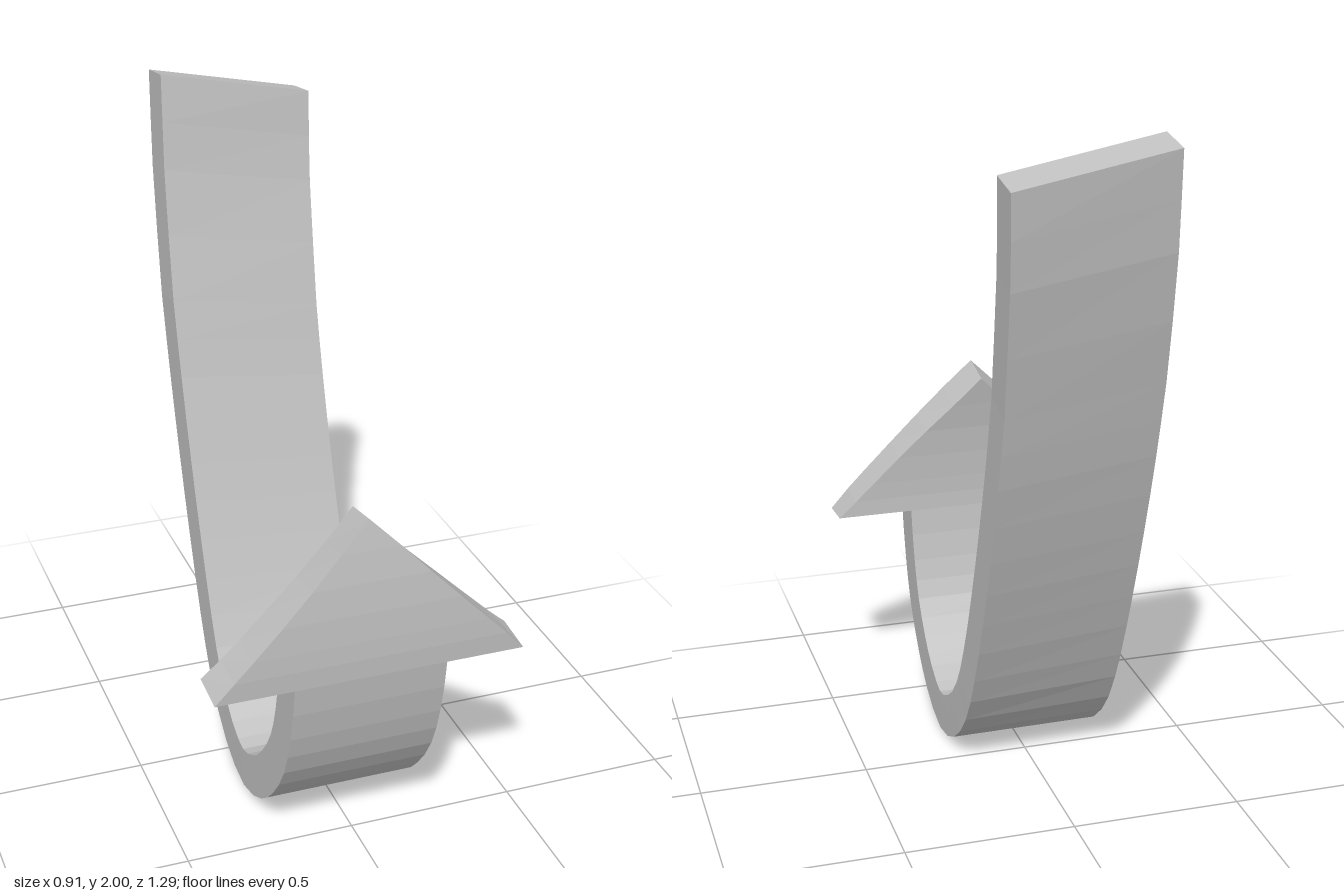
import * as THREE from 'three';

// Centreline of the bent arrow, from tail to tip, as [z, y]
const PATH = [
  [-0.577, 1.948], [-0.537, 1.675], [-0.447, 1.3], [-0.389, 1.08], [-0.31, 0.83],
  [-0.231, 0.608], [-0.142, 0.39], [-0.05, 0.222], [0.07, 0.107], [0.2, 0.065],
  [0.33, 0.115], [0.42, 0.195], [0.502, 0.31], [0.548, 0.44], [0.578, 0.61],
  [0.58, 0.72], [0.568, 0.89], [0.537, 1.06],
];
const LAST = PATH.length - 1;
const NECK = 14; // path index where the head begins
const HALF_THICK = 0.064;
const curve = new THREE.CatmullRomCurve3(PATH.map(([z, y]) => new THREE.Vector3(0, y, z)));

// Four corners across the band at path index u
function section(u, halfWidth, centreX = 0, twist = 0, slant = 0) {
  const p = curve.getPoint(u / LAST);
  const t = curve.getTangent(u / LAST);
  const n = new THREE.Vector3(0, t.z, -t.y); // towards the inside of the bend
  return [[1, -1], [1, 1], [-1, 1], [-1, -1]].map(([sx, sn]) => {
    const v = p.clone().addScaledVector(n, sn * HALF_THICK).addScaledVector(t, sx * slant);
    v.x = centreX + sx * halfWidth;
    v.z -= sx * twist;
    return v;
  });
}

// Closed solid through a row of four-cornered sections
function loft(sections) {
  const pos = [];
  const quad = (a, b, c, d) => [a, b, c, a, c, d].forEach((v) => pos.push(v.x, v.y, v.z));
  for (let i = 0; i < sections.length - 1; i++) {
    const s = sections[i], e = sections[i + 1];
    for (let k = 0; k < 4; k++) quad(s[k], s[(k + 1) % 4], e[(k + 1) % 4], e[k]);
  }
  const [a, b, c, d] = sections[0];
  quad(a, d, c, b);
  quad(...sections[sections.length - 1]);
  const geo = new THREE.BufferGeometry();
  geo.setAttribute('position', new THREE.Float32BufferAttribute(pos, 3));
  geo.computeVertexNormals();
  return geo;
}

export function createModel() {
  const group = new THREE.Group();
  group.name = 'bentArrow';
  const grey = new THREE.MeshStandardMaterial({ color: 0xc0c0c0 });
  grey.name = 'light grey';
  grey.flatShading = true;

  // Curved shaft: slightly swayed and twisted, with a slanted tail end
  const shaftSections = [];
  for (let u = 0; u <= NECK; u += 0.5) {
    const sway = u < 2 ? -0.009 * u : -0.018 + 0.016 * ((u - 2) / (NECK - 2));
    const twist = 0.007 * Math.sin((Math.PI * Math.min(u, 9)) / 9);
    const slant = 0.045 * Math.max(0, 1 - u / 9);
    shaftSections.push(section(u, 0.225, sway, twist, slant));
  }
  const shaft = new THREE.Mesh(loft(shaftSections), grey);
  shaft.name = 'shaft';
  group.add(shaft);

  // Triangular head, following the bend up to its point
  const headSections = [];
  for (let u = NECK; u <= LAST; u += 0.5) {
    const y = curve.getPoint(u / LAST).y;
    const taper = (PATH[LAST][1] - y) / (PATH[LAST][1] - PATH[NECK][1]);
    headSections.push(section(u, Math.max(0.455 * taper, 0.001)));
  }
  const head = new THREE.Mesh(loft(headSections), grey);
  head.name = 'arrowHead';
  group.add(head);

  return group;
}
